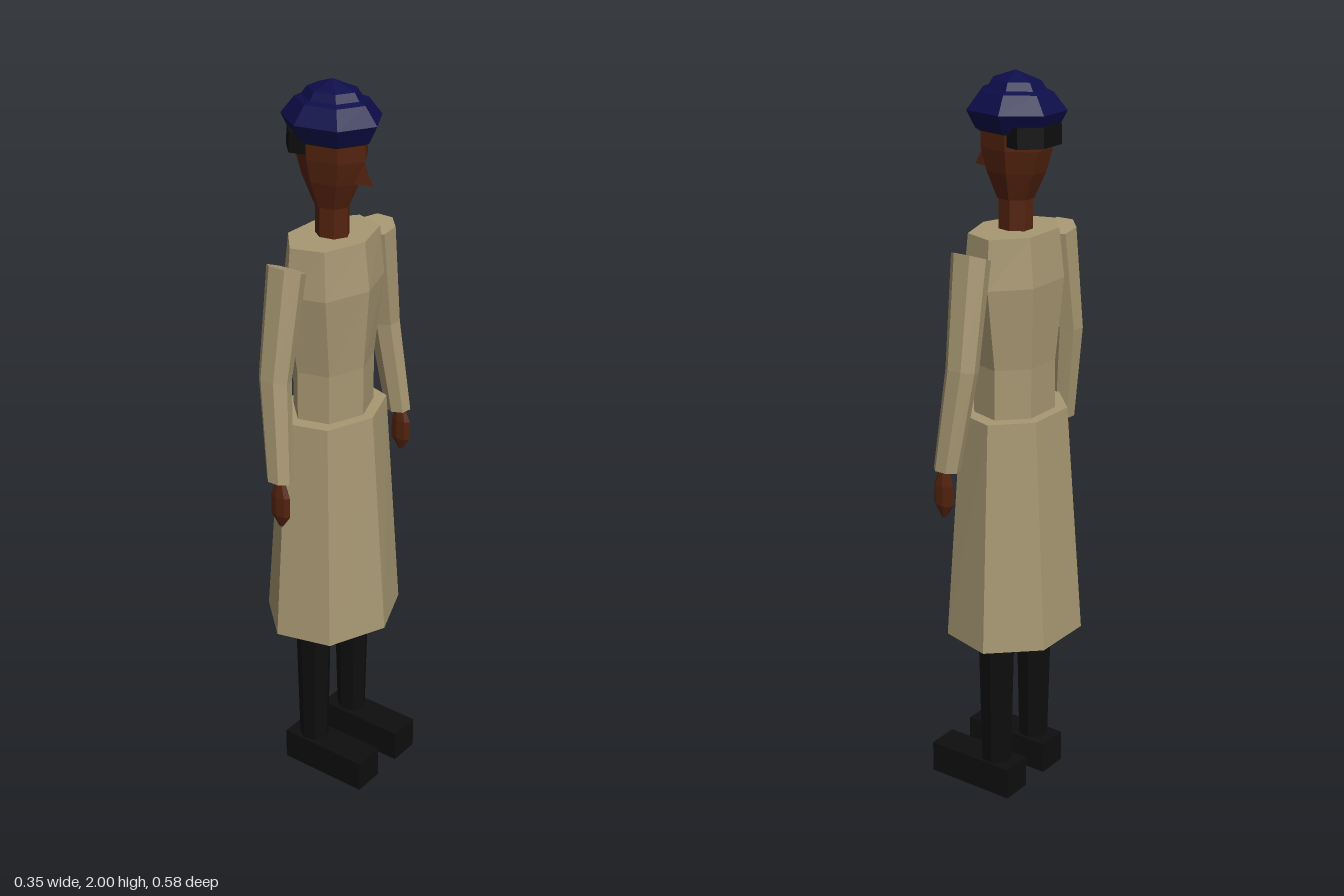
import * as THREE from 'three';

const CX = -0.018; // body axis; the figure looks along +x

// Closed faceted body through rings of [x, y, z, rx, rz, tilt], listed bottom to top
function loft(rings, sides = 7, phase = 0) {
  const pos = [];
  const point = ([x, y, z, rx, rz, tilt = 0], i) => {
    const a = phase + (i / sides) * Math.PI * 2;
    const dz = rz * Math.sin(a);
    return [x + rx * Math.cos(a), y + tilt * dz, z + dz];
  };
  const low = rings[0], top = rings[rings.length - 1];
  for (let i = 0; i < sides; i++) {
    for (let r = 0; r < rings.length - 1; r++) {
      const a = point(rings[r], i), b = point(rings[r], i + 1);
      const c = point(rings[r + 1], i), d = point(rings[r + 1], i + 1);
      pos.push(...a, ...c, ...b, ...b, ...c, ...d);
    }
    pos.push(...low.slice(0, 3), ...point(low, i), ...point(low, i + 1));
    pos.push(...top.slice(0, 3), ...point(top, i + 1), ...point(top, i));
  }
  const g = new THREE.BufferGeometry();
  g.setAttribute('position', new THREE.Float32BufferAttribute(pos, 3));
  g.computeVertexNormals();
  return g;
}

// Rings [y, rx, rz] stacked on the body axis
const stack = (rows) => loft(rows.map(([y, rx, rz]) => [CX, y, 0, rx, rz]));

export function createModel() {
  const group = new THREE.Group();
  group.name = 'figure';
  const material = (name, color) => {
    const m = new THREE.MeshStandardMaterial({ color });
    m.name = name;
    return m;
  };
  const coat = material('tan coat', 0xa89873);
  const skin = material('brown skin', 0x54230f);
  const navy = material('navy hat', 0x0d0d4a);
  const black = material('black', 0x0e0e0e);

  const add = (name, geometry, mat) => {
    const mesh = new THREE.Mesh(geometry, mat);
    mesh.name = name;
    group.add(mesh);
    return mesh;
  };

  // Coat
  add('coatSkirt', stack([[0.475, 0.178, 0.207], [1.115, 0.131, 0.167]]), coat);
  add('coatBody', stack([
    [1.1, 0.1, 0.125], [1.25, 0.1, 0.125], [1.47, 0.117, 0.16], [1.6, 0.102, 0.15],
  ]), coat);

  // Head
  add('neck', stack([[1.56, 0.047, 0.042], [1.72, 0.047, 0.042]]), skin);
  add('head', stack([
    [1.68, 0.05, 0.046], [1.75, 0.083, 0.068], [1.81, 0.101, 0.079], [1.87, 0.101, 0.081],
  ]), skin);
  add('nose', loft([[0.075, 1.75, 0, 0.033, 0.015], [0.06, 1.81, 0, 0.018, 0.01]], 3), skin);
  add('hairBack', loft([[-0.072, 1.822, 0, 0.068, 0.09], [-0.07, 1.875, 0, 0.068, 0.09]]), black);
  add('hairBand', stack([[1.853, 0.104, 0.088], [1.88, 0.108, 0.09]]), black);

  // Hat
  add('hat', stack([
    [1.858, 0.112, 0.094], [1.905, 0.136, 0.118], [1.95, 0.1, 0.085],
    [1.957, 0.082, 0.068], [1.977, 0.068, 0.056], [2.0, 0.002, 0.002],
  ]), navy);

  // Limbs, mirrored across z
  for (const s of [1, -1]) {
    const side = s > 0 ? 'right' : 'left';
    const phase = -s * Math.PI / 2;
    const elbow = [-0.022, 1.28, s * 0.236, 0.047, 0.036, s * 0.15];
    add(side + 'UpperArm', loft([elbow, [CX, 1.565, s * 0.19, 0.056, 0.041, s * 0.38]], 7, phase), coat);
    add(side + 'Forearm', loft([[0.01, 1.01, s * 0.262, 0.038, 0.031, s * 0.1], elbow], 7, phase), coat);
    add(side + 'Hand', loft([
      [0.017, 0.88, s * 0.268, 0.006, 0.003], [0.017, 0.915, s * 0.268, 0.03, 0.014],
      [0.017, 0.97, s * 0.268, 0.03, 0.014], [0.015, 1.015, s * 0.267, 0.012, 0.008],
    ]), skin);
    add(side + 'Leg', loft([
      [CX, 0.05, s * 0.089, 0.042, 0.038], [CX, 0.55, s * 0.089, 0.055, 0.046],
    ]), black);
    add(side + 'Boot', new THREE.BoxGeometry(0.263, 0.09, 0.09), black)
      .position.set(0.0435, 0.045, s * 0.087);
  }
  return group;
}
